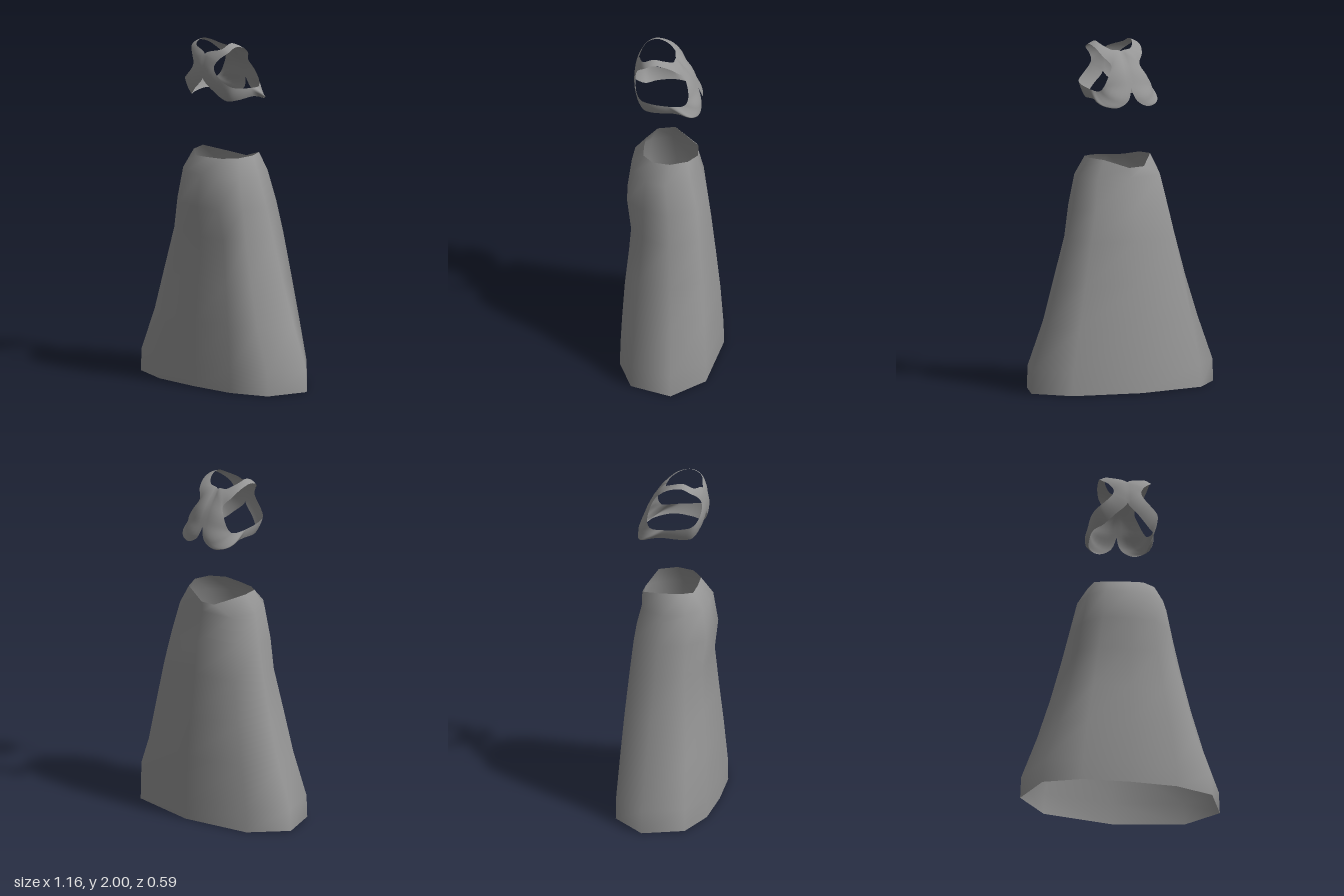
import * as THREE from 'three';
import { mergeVertices } from 'three/addons/utils/BufferGeometryUtils.js';

const material = new THREE.MeshStandardMaterial({ color: 0x969696, side: THREE.DoubleSide });
const { lerp, smoothstep } = THREE.MathUtils;

// Skin a grid of points: rows of equal length, optionally closed both ways
function addGrid(positions, index, rows, closeRows, closeCols, flip) {
  const base = positions.length / 3, n = rows[0].length, m = rows.length;
  for (const row of rows) for (const p of row) positions.push(p.x, p.y, p.z);
  for (let i = 0; i < (closeRows ? m : m - 1); i++) {
    for (let j = 0; j < (closeCols ? n : n - 1); j++) {
      const a = base + i * n + j, b = base + i * n + (j + 1) % n;
      const c = base + ((i + 1) % m) * n + (j + 1) % n, d = base + ((i + 1) % m) * n + j;
      if (flip) index.push(a, c, b, a, d, c);
      else index.push(a, b, c, a, c, d);
    }
  }
}

function makeMesh(name, positions, index) {
  let g = new THREE.BufferGeometry();
  g.setAttribute('position', new THREE.Float32BufferAttribute(positions, 3));
  g.setIndex(index);
  g = mergeVertices(g, 1e-4);
  g.computeVertexNormals();
  const mesh = new THREE.Mesh(g, material);
  mesh.name = name;
  return mesh;
}

// Flared gown: ten-sided rings, left half given from front centre to back centre as [x, z]
function makeGown() {
  const hem = [[0, .293], [.275, .28], [.495, .2], [.582, -.035], [.41, -.225], [0, -.295]];
  const sections = [
    [0, hem],
    [.13, hem.map(([x, z]) => [x * .99, z * .995])],
    [.38, [[0, .275], [.24, .262], [.4, .185], [.485, -.03], [.36, -.21], [0, -.275]]],
    [.62, [[0, .25], [.205, .243], [.34, .17], [.411, -.02], [.315, -.195], [0, -.25]]],
    [.87, [[0, .23], [.17, .225], [.28, .15], [.345, -.01], [.27, -.175], [0, -.222]]],
    [1.05, [[0, .26], [.15, .25], [.255, .15], [.302, 0], [.23, -.16], [0, -.195]]],
    [1.23, [[0, .235], [.13, .225], [.22, .14], [.26, .02], [.2, -.12], [0, -.15]]],
  ];
  const rows = sections.map(([y, half]) => {
    const left = half.map(([x, z]) => new THREE.Vector3(x, y, z));
    const right = left.slice(1, -1).reverse().map(p => new THREE.Vector3(-p.x, p.y, p.z));
    return [...left, ...right];
  });
  // Slightly uneven neckline: raised at the shoulders, dipped at the back
  rows.push([
    [0, 1.325, .165], [.1, 1.33, .16], [.175, 1.335, .1], [.195, 1.338, 0], [.15, 1.335, -.1],
    [.01, 1.286, -.145], [-.085, 1.29, -.143], [-.195, 1.34, 0], [-.175, 1.337, .1], [-.1, 1.32, .16],
  ].map(p => new THREE.Vector3(...p)));
  const positions = [], index = [];
  addGrid(positions, index, rows, false, true, false);
  return makeMesh('gown', positions, index);
}

// Head straps: a loop on each side between a centre edge and the side opening, joined at x = 0
function makeHeadStraps() {
  // Each station: centre edge x, y, z, then side opening edge x, y, z
  const stations = [
    [0, 1.87, .215, .08, 1.875, .205],      // front crossing
    [0, 1.94, .195, .1, 1.915, .192],
    [.1, 1.975, .16, .145, 1.96, .15],      // over the crown
    [.108, 2, .1, .148, 1.982, .1],
    [.1, 1.985, .04, .143, 1.965, .02],
    [.06, 1.957, -.01, .125, 1.925, -.035],
    [0, 1.945, -.02, .09, 1.875, -.073],    // back crossing
    [0, 1.85, -.1, .12, 1.815, -.097],
    [0, 1.75, -.147, .15, 1.76, -.1],       // nape notch
    [.03, 1.675, -.168, .165, 1.735, -.085],
    [.1, 1.64, -.165, .178, 1.73, -.06],    // nape lobe
    [.16, 1.65, -.13, .187, 1.733, -.03],
    [.177, 1.68, -.02, .193, 1.738, .02],   // side band
    [.168, 1.675, .1, .193, 1.75, .11],
    [.135, 1.675, .16, .178, 1.765, .17],
    [.07, 1.73, .2, .133, 1.8, .2],         // front leg
    [0, 1.8, .215, .09, 1.845, .208],
  ];
  const edge = k => new THREE.CatmullRomCurve3(
    stations.map(s => new THREE.Vector3(s[k], s[k + 1], s[k + 2])), true, 'centripetal');
  const inner = edge(0), outer = edge(3);
  const centre = new THREE.Vector3(0, 1.82, .03);
  const steps = stations.length * 5, across = 6;
  const rows = [];
  for (let i = 0; i < steps; i++) {
    const a = inner.getPoint(i / steps).sub(centre), b = outer.getPoint(i / steps).sub(centre);
    a.x = Math.max(0, a.x);
    // The nape lobes swell a little more than the rest
    const swell = .1 * smoothstep(-a.y, .05, .14) * smoothstep(-a.z, .06, .18);
    const row = [];
    for (let j = 0; j <= across; j++) {
      // Keep the radius from the head centre so the strap bulges outward
      const t = j / across;
      const radius = lerp(a.length(), b.length(), t) * (1 + swell * Math.sin(Math.PI * t));
      row.push(a.clone().lerp(b, t).setLength(radius).add(centre));
    }
    rows.push(row);
  }
  const mirrored = rows.map(row => row.map(p => new THREE.Vector3(-p.x, p.y, p.z)));
  const positions = [], index = [];
  addGrid(positions, index, rows, true, false, false);
  addGrid(positions, index, mirrored, true, false, true);
  return makeMesh('headStraps', positions, index);
}

export function createModel() {
  const model = new THREE.Group();
  model.name = 'gownAndHeadStraps';
  model.add(makeGown(), makeHeadStraps());
  return model;
}
